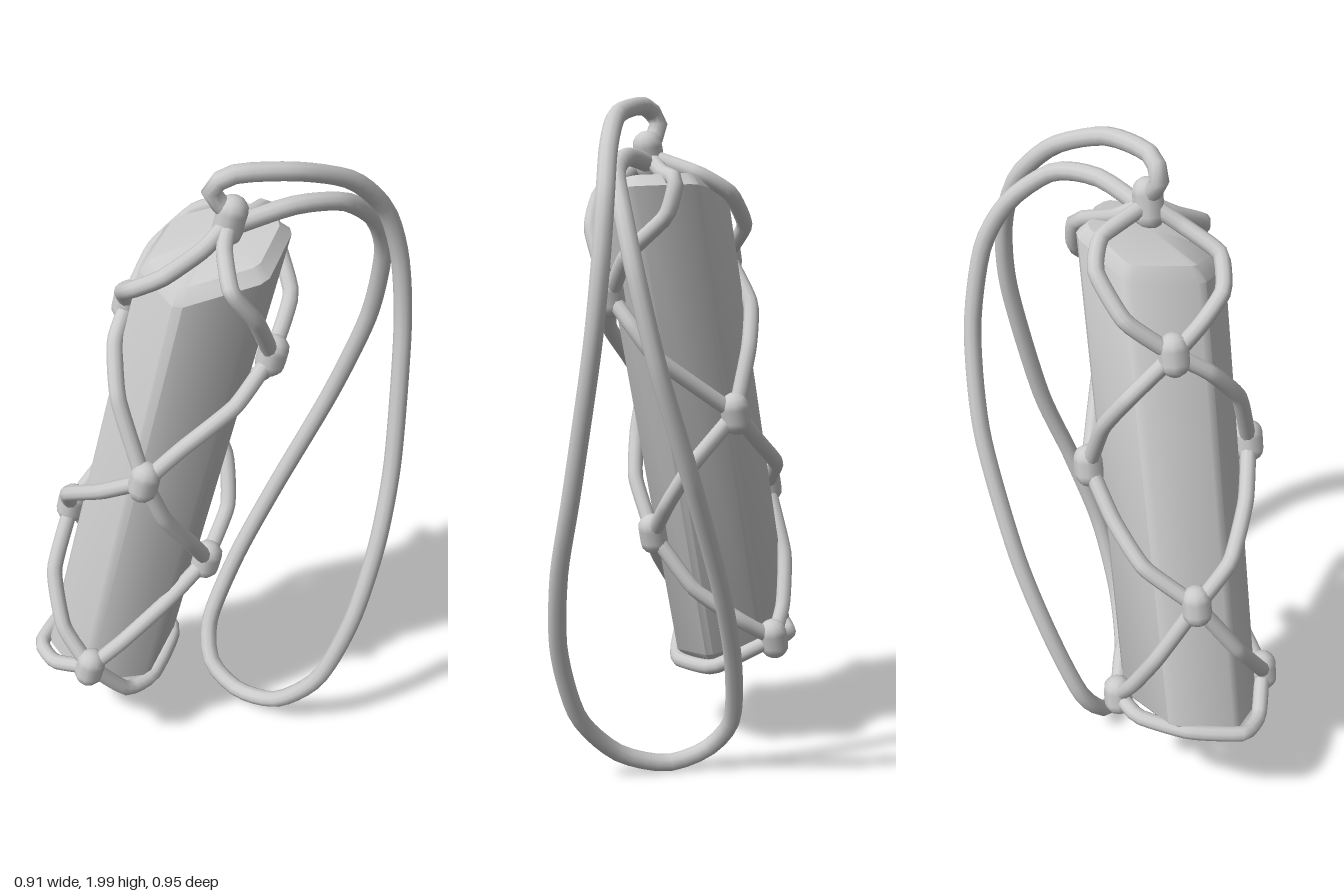
import * as THREE from 'three';
import { toCreasedNormals } from 'three/addons/utils/BufferGeometryUtils.js';

const grey = new THREE.MeshStandardMaterial({ color: 0xcccccc });
const v = (p) => new THREE.Vector3(...p);

// Leaning axis shared by the crystal and the knots
const axis = new THREE.Vector3(0.27, 1.4, -0.14).normalize();

function add(parent, name, geometry) {
  const mesh = new THREE.Mesh(geometry, grey);
  mesh.name = name;
  parent.add(mesh);
  return mesh;
}

function cord(parent, name, points, radius, segments, tension) {
  const curve = new THREE.CatmullRomCurve3(points.map(v), false, 'catmullrom', tension);
  return add(parent, name, new THREE.TubeGeometry(curve, segments, radius, 10));
}

// Each corner becomes two points, which softens the long edges
function soften(ring) {
  const n = ring.length;
  return ring.flatMap((p, i) => [
    p.clone().lerp(ring[(i + n - 1) % n], 0.08), p.clone().lerp(ring[(i + 1) % n], 0.08)]);
}

// Ring scaled about its own centre and shifted in height
function inset(ring, scale, dy) {
  const c = ring.reduce((s, p) => s.add(p), new THREE.Vector3()).divideScalar(ring.length);
  return ring.map((p) => {
    const q = p.clone().sub(c).multiplyScalar(scale).add(c);
    q.y += dy;
    return q;
  });
}

// Six-sided column lofted through rings, with bevelled ends
function crystalGeometry() {
  const bottom = soften([[-0.24, 0.425], [-0.095, 0.28], [-0.125, 0.075], [-0.28, 0.015], [-0.445, 0.17], [-0.405, 0.365]]
    .map(([x, z]) => new THREE.Vector3(x, 0.33 - 0.25 * (x + 0.27) - 0.15 * (z - 0.22), z)));
  const top = soften([[0.03, 1.66, 0.285], [0.215, 1.72, 0.13], [0.175, 1.76, -0.075],
    [0, 1.765, -0.125], [-0.165, 1.72, 0.02], [-0.125, 1.7, 0.225]].map(v));
  const rings = [inset(bottom, 0, -0.035), inset(bottom, 0.85, -0.03), bottom,
    top, inset(top, 0.84, 0.035), inset(top, 0, 0.055)];
  const n = top.length;
  const pos = [];
  for (let r = 0; r < rings.length - 1; r++) {
    for (let i = 0; i < n; i++) {
      const j = (i + 1) % n;
      const [a, b, c, d] = [rings[r][i], rings[r][j], rings[r + 1][j], rings[r + 1][i]];
      if (r > 0) pos.push(...a, ...b, ...d);
      if (r < rings.length - 2) pos.push(...b, ...c, ...d);
    }
  }
  const g = new THREE.BufferGeometry();
  g.setAttribute('position', new THREE.Float32BufferAttribute(pos, 3));
  return toCreasedNormals(g, 0.65);
}

export function createModel() {
  const model = new THREE.Group();
  model.name = 'crystalPendant';
  add(model, 'crystal', crystalGeometry());

  // Knots: four staggered columns around the crystal
  const knots = {
    top: [0.065, 1.83, 0.07],
    frontUpper: [-0.03, 1.12, 0.365], frontLower: [-0.2, 0.385, 0.435],
    rightUpper: [0.19, 1.44, 0.055], rightLower: [0.03, 0.7, 0.14],
    backUpper: [-0.14, 1.1, -0.085], backLower: [-0.31, 0.37, 0.005],
    leftUpper: [-0.21, 1.53, 0.15], leftLower: [-0.385, 0.8, 0.23],
  };
  const knotGroup = new THREE.Group();
  knotGroup.name = 'knots';
  model.add(knotGroup);
  for (const [name, p] of Object.entries(knots)) {
    const k = add(knotGroup, name + 'Knot', new THREE.CapsuleGeometry(0.043, name === 'top' ? 0.06 : 0.04, 4, 10));
    k.position.set(...p);
    k.quaternion.setFromUnitVectors(new THREE.Vector3(0, 1, 0), axis);
  }

  // Net cords: from knot to knot, bent tightly round the crystal's edges
  const net = new THREE.Group();
  net.name = 'net';
  model.add(net);
  const strands = [
    ['top', 'leftUpper', [0.04, 1.78, 0.16], [-0.02, 1.73, 0.265], [-0.11, 1.67, 0.275], [-0.18, 1.61, 0.22]],
    ['top', 'leftUpper', [-0.04, 1.785, -0.05], [-0.13, 1.73, -0.06], [-0.21, 1.63, 0.02]],
    ['top', 'rightUpper', [0.09, 1.785, 0.14], [0.16, 1.72, 0.22], [0.205, 1.62, 0.17]],
    ['top', 'rightUpper', [0.06, 1.79, -0.02], [0.06, 1.775, -0.125], [0.09, 1.68, -0.13], [0.18, 1.57, -0.06]],
    ['frontUpper', 'leftUpper', [-0.13, 1.34, 0.33], [-0.19, 1.46, 0.25]],
    ['frontUpper', 'rightUpper', [0.05, 1.22, 0.3], [0.15, 1.33, 0.18]],
    ['frontUpper', 'leftLower', [-0.18, 1.02, 0.36], [-0.33, 0.92, 0.32]],
    ['frontUpper', 'rightLower', [0.01, 0.98, 0.33], [0.045, 0.85, 0.25]],
    ['backUpper', 'leftUpper', [-0.2, 1.28, -0.04], [-0.235, 1.4, 0.03]],
    ['backUpper', 'rightUpper', [0.09, 1.27, -0.065], [0.15, 1.36, -0.02]],
    ['backUpper', 'leftLower', [-0.25, 0.99, -0.01], [-0.345, 0.9, 0.08]],
    ['backUpper', 'rightLower', [-0.02, 0.95, -0.05], [0.03, 0.82, 0.02]],
    ['leftLower', 'frontLower', [-0.375, 0.63, 0.35], [-0.3, 0.49, 0.42]],
    ['leftLower', 'backLower', [-0.395, 0.6, 0.12], [-0.36, 0.46, 0.05]],
    ['rightLower', 'frontLower', [-0.03, 0.6, 0.26], [-0.12, 0.48, 0.37]],
    ['rightLower', 'backLower', [-0.07, 0.54, 0.06], [-0.2, 0.44, 0.01]],
    ['frontLower', 'backLower', [-0.13, 0.26, 0.35], [-0.1, 0.25, 0.25], [-0.14, 0.28, 0.07]],
    ['frontLower', 'backLower', [-0.34, 0.33, 0.425], [-0.42, 0.335, 0.38], [-0.435, 0.35, 0.22], [-0.39, 0.36, 0.07]],
  ];
  strands.forEach(([a, b, ...mid]) => cord(net, 'netCord', [knots[a], ...mid, knots[b]], 0.023, 24, 0.25));

  // Long hanging loop that leaves and returns to the top knot
  cord(model, 'necklaceLoop', [
    [0.065, 1.85, 0.07], [0.025, 1.92, 0.1], [0.08, 1.97, 0.07], [0.2, 1.955, -0.05],
    [0.28, 1.88, -0.2], [0.33, 1.75, -0.31], [0.36, 1.58, -0.355], [0.385, 1.35, -0.35],
    [0.42, 0.95, -0.27], [0.43, 0.7, -0.18], [0.405, 0.45, -0.09], [0.33, 0.22, -0.03],
    [0.2, 0.08, -0.005], [0.05, 0.03, -0.02], [-0.07, 0.07, -0.05], [-0.12, 0.18, -0.12],
    [-0.08, 0.4, -0.22], [0, 0.65, -0.32], [0.13, 1, -0.42], [0.23, 1.3, -0.445],
    [0.28, 1.55, -0.41], [0.285, 1.7, -0.33], [0.26, 1.81, -0.2], [0.18, 1.84, -0.07], [0.07, 1.81, 0.06],
  ], 0.026, 120, 0.4);

  return model;
}
